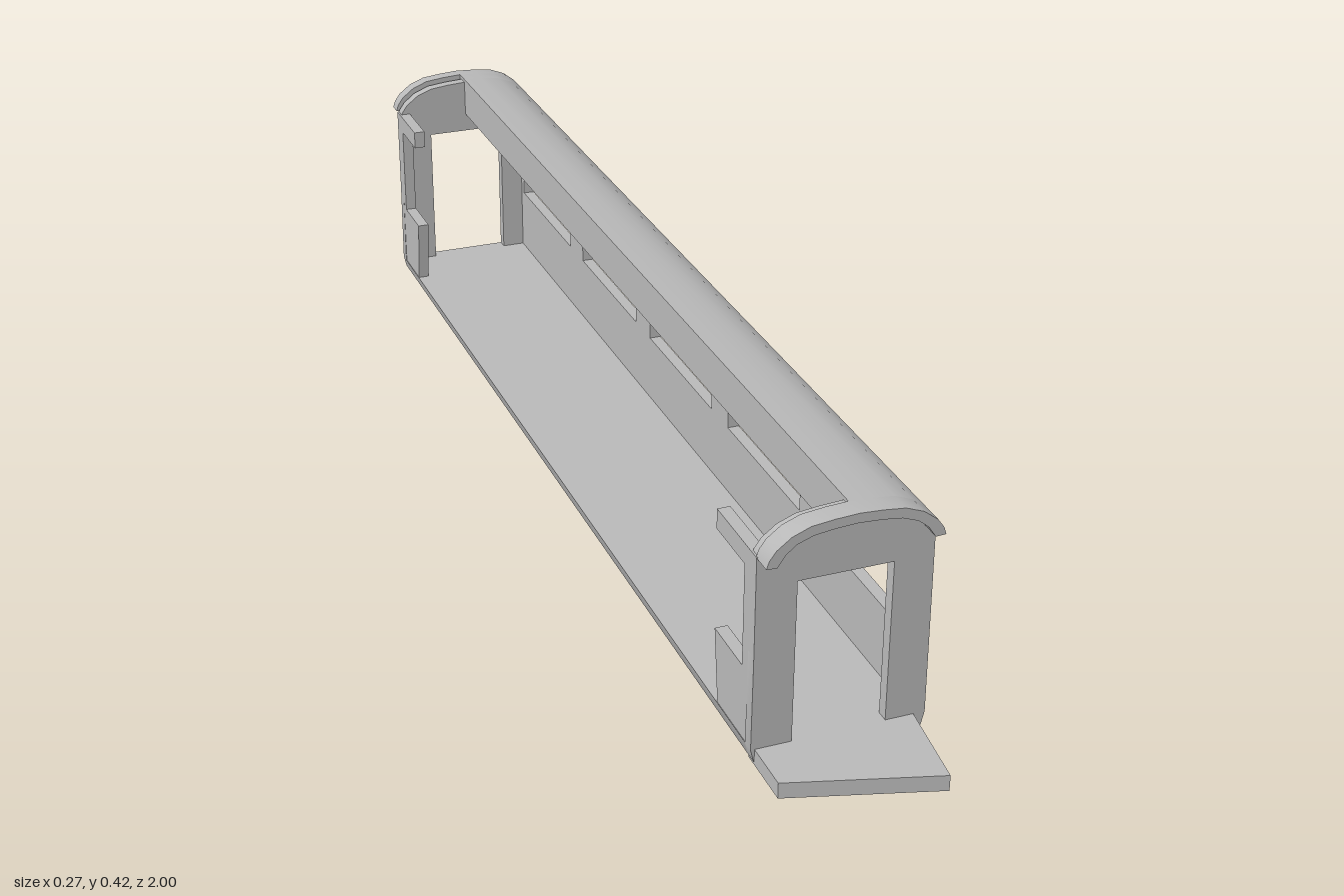
import * as THREE from 'three';
import { toCreasedNormals } from 'three/addons/utils/BufferGeometryUtils.js';

const FRONT = 0.85, BACK = -0.965, WALL = 0.02;
const ROOF_FRONT = 0.88, ROOF_BACK = -1;

// half profiles, from the centre line out to the +x side
const ROOF = [[0, 0.418], [0.035, 0.416], [0.07, 0.412], [0.098, 0.401], [0.12, 0.384], [0.13, 0.37], [0.134, 0.358]];
const CEILING = [[0, 0.403], [0.035, 0.401], [0.066, 0.397], [0.09, 0.388], [0.106, 0.375], [0.118, 0.357]];
const BELLY = [[0.136, 0.045], [0.131, 0.024], [0.122, 0.011], [0.11, 0.003], [0.095, 0]];

const mirrored = (pts) => pts.map(([x, y]) => [-x, y]).reverse();
const fullArc = (half) => [...mirrored(half), ...half.slice(1)];
const shapeOf = (pts) => new THREE.Shape(pts.map(([x, y]) => new THREE.Vector2(x, y)));
const rect = (x0, y0, x1, y1) => [[x0, y0], [x1, y0], [x1, y1], [x0, y1]];

function extrude(shape, depth) {
  return new THREE.ExtrudeGeometry(shape, { depth, bevelEnabled: false });
}

export function createModel() {
  const group = new THREE.Group();
  const grey = new THREE.MeshStandardMaterial({ color: 0xb8b8b8 });
  grey.name = 'plain grey';

  const add = (name, geometry) => {
    const mesh = new THREE.Mesh(toCreasedNormals(geometry, 0.6), grey);
    mesh.name = name;
    group.add(mesh);
  };
  // cross-section in x, y swept from z0 to z1
  const alongZ = (name, shape, z0, z1) => add(name, extrude(shape, z1 - z0).translate(0, 0, z0));
  // panel drawn in z, y with its thickness running from x0 to x0 + WALL
  const sidePanel = (name, shape, x0) =>
    add(name, extrude(shape, WALL).rotateY(-Math.PI / 2).translate(x0 + WALL, 0, 0));

  // floor with rounded lower corners
  alongZ('floor', shapeOf([...BELLY, ...mirrored(BELLY)]), BACK + WALL, FRONT - WALL);

  // end walls with a doorway
  const endOutline = [...fullArc(ROOF.slice(0, -1).map(([x, y]) => [x, y - 0.006])),
    [0.134, 0.355], ...BELLY, ...mirrored(BELLY), [-0.134, 0.355]];
  for (const [name, z] of [['frontEndWall', FRONT - WALL], ['backEndWall', BACK]]) {
    const end = shapeOf(endOutline);
    end.holes.push(shapeOf(rect(-0.073, 0.045, 0.073, 0.31)));
    alongZ(name, end, z, z + WALL);
  }

  // windowed side wall
  const side = shapeOf(rect(BACK + WALL, 0.045, FRONT - WALL, 0.36));
  for (let i = 0; i < 5; i++) {
    const z = -0.93 + i * 0.3625;
    side.holes.push(shapeOf(rect(z, 0.163, z + 0.29, 0.328)));
  }
  sidePanel('windowWall', side, 0.115);

  // broken-off stubs of the open side, above and below the end windows
  for (const [name, post, edge, tip] of [['back', BACK, -0.93, -0.84], ['front', FRONT, 0.81, 0.71]]) {
    const stub = shapeOf([[post, 0.045], [tip + (edge - tip) * 0.15, 0.045], [tip, 0.163],
      [edge, 0.163], [edge, 0.328], [tip, 0.328], [tip, 0.36], [post, 0.36]]);
    sidePanel(name + 'WallStub', stub, -0.135);
  }

  // solid half roof over the windowed side
  alongZ('halfRoof', shapeOf([...ROOF, [0.12, 0.345], [0, 0.345]]), BACK + WALL, 0.845);

  // curved roof shell: hoods over both ends
  const hood = () => shapeOf([...fullArc(ROOF), ...fullArc(CEILING).reverse()]);
  alongZ('frontHood', hood(), 0.845, ROOF_FRONT);
  alongZ('backHood', hood(), ROOF_BACK, -0.975);
  const halfHood = shapeOf([...ROOF, ...CEILING.slice().reverse()]);
  alongZ('backRoofEdge', halfHood, -0.975, BACK + WALL);

  // skewed entrance platform (drawn in x, z)
  const step = shapeOf([[-0.13, -0.83], [-0.13, -0.933], [0.1, -1], [0.12, -0.83]]);
  add('entrancePlatform', extrude(step, 0.026).rotateX(-Math.PI / 2).translate(0, 0.019, 0));

  return group;
}
